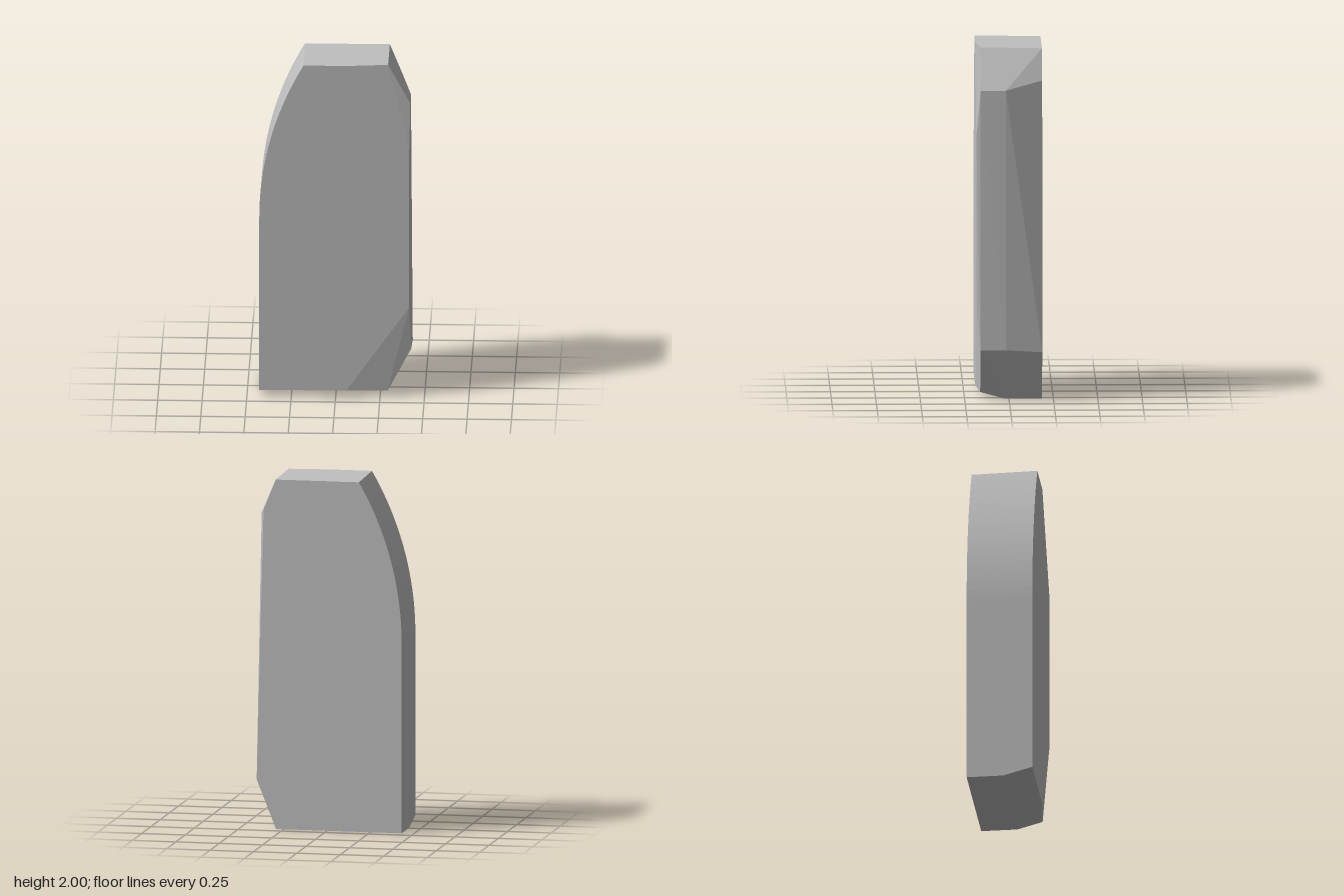
import * as THREE from 'three';
import { ConvexGeometry } from 'three/addons/geometries/ConvexGeometry.js';

const F = 0.186, B = -0.186; // front and back planes
const C = 0.162, M = 0.02;   // front chamfer line and middle break line

export function createModel() {
  const group = new THREE.Group();
  group.name = 'bevelledSlab';
  const stone = new THREE.MeshStandardMaterial({ color: 0xc0c0c0 });
  stone.name = 'light grey';

  const points = [];
  const add = (x, y, z) => points.push(new THREE.Vector3(x, y, z));

  // curved left shoulder: an arc tangent to the vertical side
  const arc = (z, top) => {
    const R = 1.817, y0 = 1.08, end = Math.asin((top - y0) / R), n = 22;
    for (let i = 0; i <= n; i++) {
      const a = end * i / n;
      add(-0.43 + R * (1 - Math.cos(a)), y0 + R * Math.sin(a), z);
    }
  };
  arc(F, 2);
  arc(B, 1.993);

  // top edge, tapering to the front chamfer
  add(0.07, 2, F);
  add(0.295, 2, C);
  add(0.295, 1.993, B);

  // right side, upper corner
  add(0.415, 1.5, F);
  add(0.42, 1.77, C);
  add(0.42, 1.77, M);
  add(0.365, 1.82, B);

  // right side, lower corner
  add(0.415, 0.55, F);
  add(0.426, 0.295, C);
  add(0.43, 0.295, M);
  add(0.405, 0.28, B);

  // base with a raised front lip
  add(-0.43, 0.045, F);
  add(0.06, 0.045, F);
  add(0.293, 0.039, C);
  for (const z of [M, B]) {
    add(-0.43, 0, z);
    add(0.293, 0, z);
  }

  const slab = new THREE.Mesh(new ConvexGeometry(points), stone);
  slab.name = 'slab';
  group.add(slab);
  return group;
}
